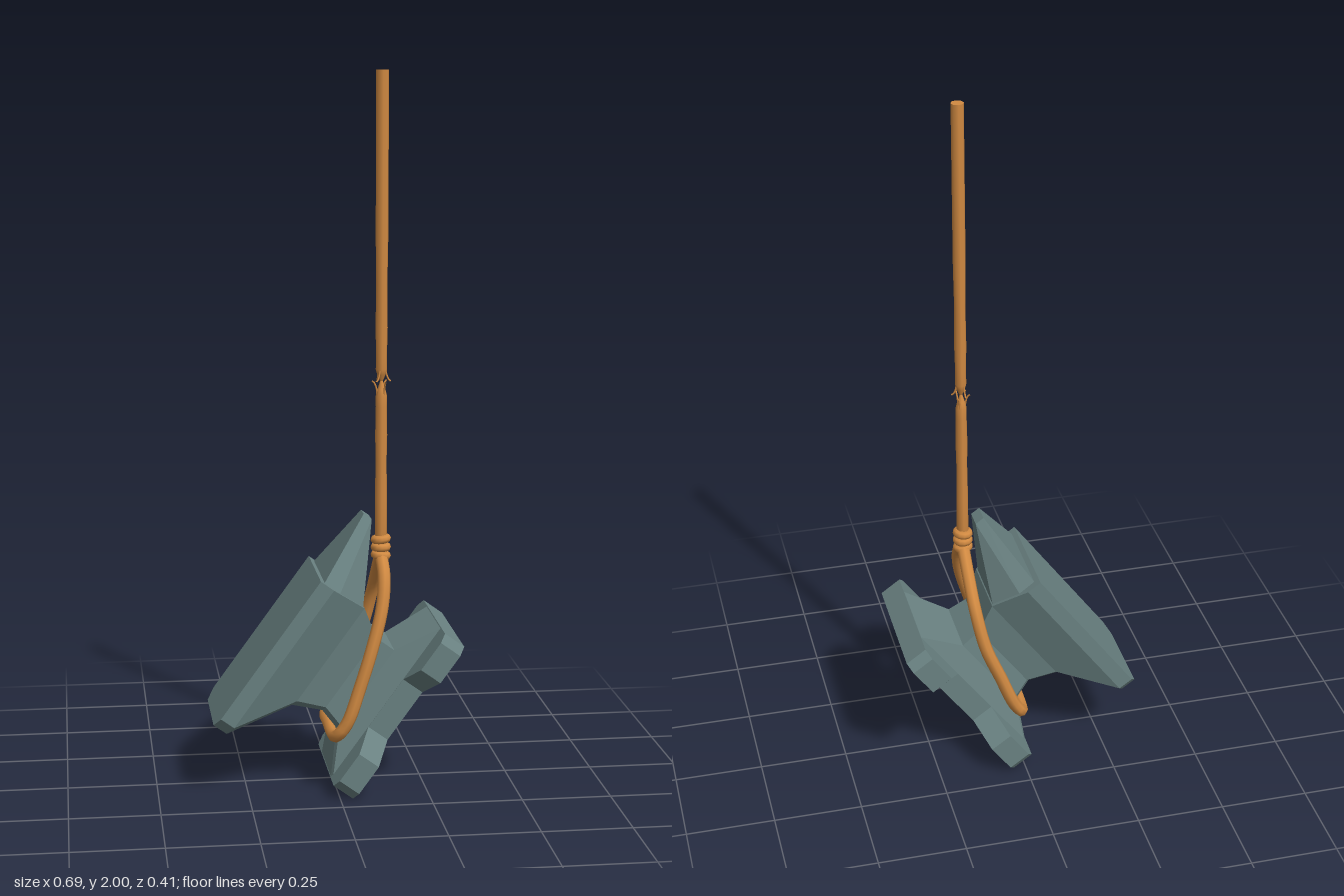
import * as THREE from 'three';
import { ConvexGeometry } from 'three/addons/geometries/ConvexGeometry.js';

const iron = new THREE.MeshStandardMaterial({ color: 0x6a8282, flatShading: true });
iron.name = 'iron';
const hemp = new THREE.MeshStandardMaterial({ color: 0xd18a42 });
hemp.name = 'rope';

function part(parent, name, geometry, material) {
  const mesh = new THREE.Mesh(geometry, material);
  mesh.name = name;
  parent.add(mesh);
  return mesh;
}

// Joins stacked horizontal rings, each with the same number of points, and caps both ends
function loft(rings) {
  const n = rings[0].length, index = [];
  for (let r = 0; r < rings.length - 1; r++) {
    for (let i = 0; i < n; i++) {
      const a = r * n + i, b = r * n + (i + 1) % n;
      index.push(a, b, b + n, a, b + n, a + n);
    }
  }
  const top = (rings.length - 1) * n;
  for (let i = 1; i < n - 1; i++) {
    index.push(0, i + 1, i, top, top + i, top + i + 1);
  }
  const geometry = new THREE.BufferGeometry();
  geometry.setAttribute('position', new THREE.Float32BufferAttribute(rings.flat(2), 3));
  geometry.setIndex(index);
  const flat = geometry.toNonIndexed();
  flat.computeVertexNormals();
  return flat;
}

// Anvil section at height h, with the heel corners cut by c
function section([h, s0, s1, z, c]) {
  return [[s1, h, z], [s1, h, -z], [s0 + c, h, -z], [s0, h, c - z], [s0, h, z - c], [s0 + c, h, z]];
}

function makeAnvil() {
  const anvil = new THREE.Group();
  anvil.name = 'anvil';

  // Four-footed base, notched on both sides
  const side = [[0, 0.183], [0.025, 0.205], [0.118, 0.205], [0.18, 0.12],
    [0.346, 0.12], [0.408, 0.205], [0.501, 0.205], [0.526, 0.183]];
  const outline = [...side, ...side.map(([s, z]) => [s, -z]).reverse()];
  const base = new THREE.ExtrudeGeometry(
    new THREE.Shape(outline.map(([s, z]) => new THREE.Vector2(s, z))),
    { depth: 0.067, bevelEnabled: false });
  base.rotateX(-Math.PI / 2);
  part(anvil, 'base', base, iron);

  // Flared waist, widening into the block with its flat face
  part(anvil, 'waistAndFace', loft([
    [0.066, 0.001, 0.525, 0.119, 0.01],
    [0.130, 0.121, 0.396, 0.095, 0.015],
    [0.190, 0.138, 0.395, 0.085, 0.015],
    [0.272, 0.105, 0.447, 0.100, 0.02],
    [0.385, -0.057, 0.447, 0.152, 0.032],
    [0.430, -0.057, 0.447, 0.152, 0.032],
  ].map(section)), iron);

  // Horn, tapering to a blunt tip just below the face
  const horn = [];
  for (const m of [1, -1]) {
    for (const [s, h, z] of [[0.44, 0.414, 0.133], [0.44, 0.36, 0.135], [0.44, 0.272, 0.095],
      [0.655, 0.415, 0.028], [0.655, 0.387, 0.028]]) {
      horn.push(new THREE.Vector3(s, h, z * m));
    }
  }
  part(anvil, 'horn', new ConvexGeometry(horn), iron);

  anvil.rotation.z = THREE.MathUtils.degToRad(54);
  anvil.position.set(0.035, 0.005, 0);
  return anvil;
}

function makeRope() {
  const rope = new THREE.Group();
  rope.name = 'rope';
  const X = 0.133, Z = 0.025;
  const curve = (pts) => new THREE.CatmullRomCurve3(pts.map((p) => new THREE.Vector3(...p)));

  // Sling round the waist
  const sling = curve([
    [X, 0.665, Z], [0.135, 0.61, 0.08], [0.125, 0.53, 0.112], [0.095, 0.42, 0.133],
    [0.06, 0.31, 0.14], [0.025, 0.21, 0.14], [-0.002, 0.168, 0.122], [-0.01, 0.165, 0],
    [-0.002, 0.168, -0.13], [0.025, 0.21, -0.146], [0.065, 0.31, -0.15], [0.108, 0.42, -0.145],
    [0.13, 0.53, -0.115], [0.135, 0.61, -0.05], [X, 0.665, Z],
  ]);
  part(rope, 'sling', new THREE.TubeGeometry(sling, 72, 0.018, 8), hemp);

  // Knot of three turns
  for (let i = 0; i < 3; i++) {
    const turn = part(rope, 'knotTurn', new THREE.TorusGeometry(0.017, 0.012, 8, 12), hemp);
    turn.rotation.set(Math.PI / 2, (i - 1) * 0.12, 0);
    turn.position.set(X, 0.66 + i * 0.023, Z);
  }

  // Hanging rope in two lengths, worn almost through between them
  const lengths = {
    lowerRope: [[0, 0.65], [0.017, 0.65], [0.017, 0.82], [0.0155, 0.93], [0.017, 1.0],
      [0.0155, 1.08], [0.016, 1.11], [0.011, 1.13], [0.003, 1.155]],
    upperRope: [[0.003, 1.15], [0.012, 1.17], [0.016, 1.185], [0.015, 1.22], [0.017, 1.3],
      [0.0155, 1.42], [0.0175, 1.55], [0.0175, 1.995]],
  };
  for (const [name, pts] of Object.entries(lengths)) {
    const profile = pts.map(([r, y]) => new THREE.Vector2(r, y));
    part(rope, name, new THREE.LatheGeometry(profile, 8), hemp).position.set(X, 0, Z);
  }
  const end = part(rope, 'ropeEnd', new THREE.CylinderGeometry(0.0175, 0.0175, 0.01, 8), hemp);
  end.position.set(X, 1.995, Z);

  // Frayed strands curling out at the break
  for (let i = 0; i < 6; i++) {
    const up = i % 2 ? 1 : -1;
    const strand = curve([[0.012, -0.035 * up, 0], [0.013, -0.012 * up, 0],
      [0.019, 0.006 * up, 0.002], [0.025, 0.012 * up, 0.005]]);
    const fray = part(rope, 'frayedStrand', new THREE.TubeGeometry(strand, 6, 0.0025, 5), hemp);
    fray.rotation.y = i * Math.PI / 3;
    fray.position.set(X, 1.152 - up * 0.012, Z);
  }
  return rope;
}

export function createModel() {
  const model = new THREE.Group();
  model.name = 'hangingAnvil';
  model.add(makeAnvil(), makeRope());
  return model;
}
